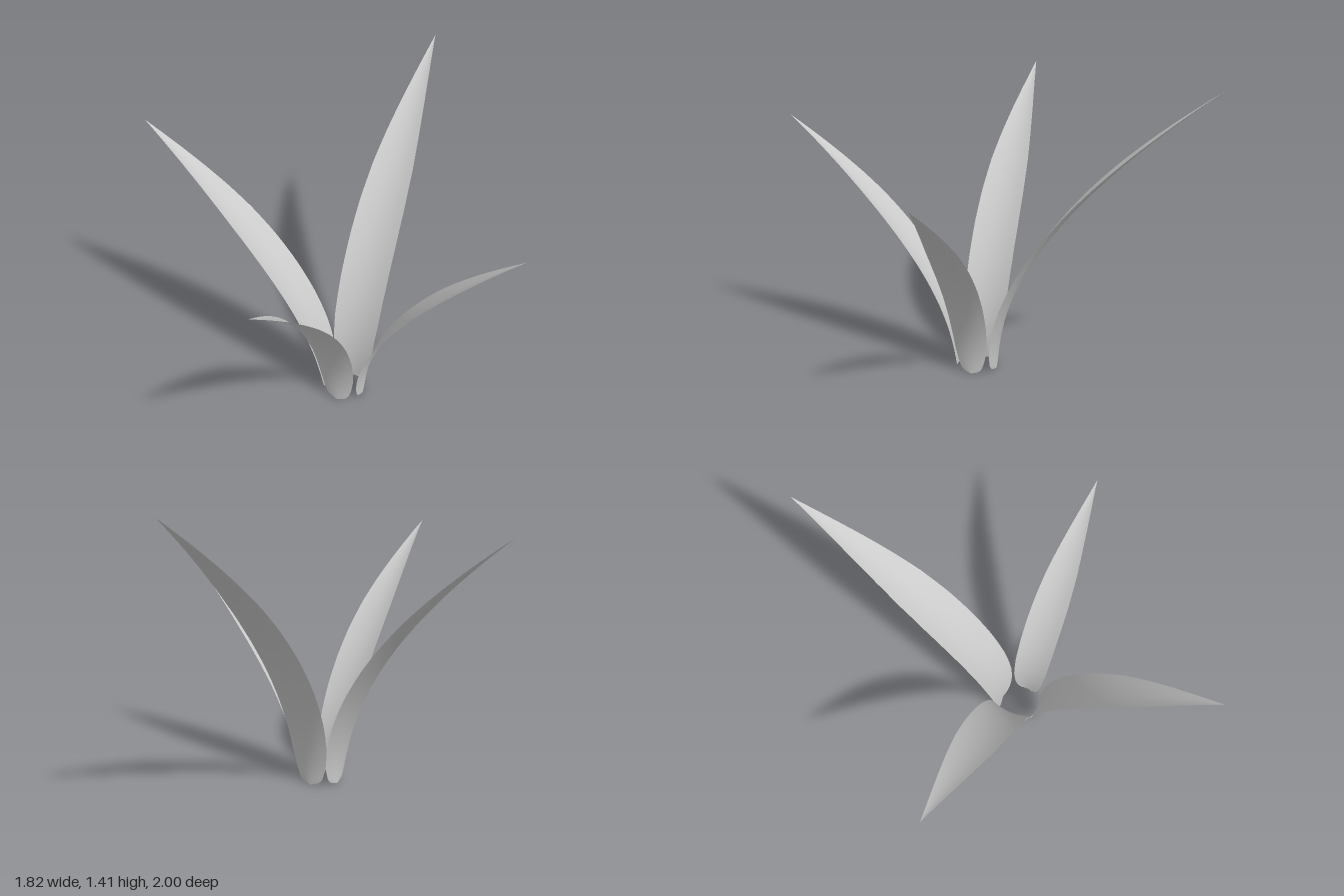
import * as THREE from 'three';

const CENTRE = 0.085; // the tuft sits slightly off the origin
const BASE_OFFSET = 0.095; // leaf foot distance from the tuft centre
const CUP = 0.17; // depth of the cross-section relative to half width

// Relative half width along a leaf: [t, width]
const OUTLINE = [
  [0, 0.18], [0.01, 0.4], [0.025, 0.56], [0.07, 0.73], [0.14, 0.87], [0.25, 0.96], [0.38, 1],
  [0.5, 1], [0.6, 0.96], [0.7, 0.85], [0.78, 0.68], [0.85, 0.49], [0.92, 0.27], [1, 0],
];

// A thin cupped blade that rises from its foot and arches out along +z
function leafGeometry(reach, height, halfWidth) {
  const spine = new THREE.QuadraticBezierCurve(
    new THREE.Vector2(0, 0),
    new THREE.Vector2(0, height * 0.45),
    new THREE.Vector2(reach, height),
  );
  const rows = 48, cols = 8;
  const geo = new THREE.PlaneGeometry(1, 1, cols, rows);
  const pos = geo.attributes.position;
  const widthAt = (t) => {
    const i = Math.max(1, OUTLINE.findIndex(([k]) => k >= t));
    const [t0, w0] = OUTLINE[i - 1], [t1, w1] = OUTLINE[i];
    return w0 + (w1 - w0) * (t - t0) / (t1 - t0);
  };
  for (let r = 0; r <= rows; r++) {
    const t = Math.pow(r / rows, 1.4); // closer rows near the rounded foot
    const p = spine.getPoint(t), d = spine.getTangent(t);
    const w = widthAt(t) * halfWidth;
    for (let c = 0; c <= cols; c++) {
      const s = (c / cols) * 2 - 1;
      const lift = CUP * w * s * s; // edges curl towards the tuft centre
      const foot = r === 0 ? 0.012 * s * s : 0;
      pos.setXYZ(r * (cols + 1) + c, s * w, p.y + lift * d.x + foot * 0.5, p.x - lift * d.y);
    }
  }
  geo.computeVertexNormals();
  return geo;
}

export function createModel() {
  const group = new THREE.Group();
  const material = new THREE.MeshStandardMaterial({ color: 0xcccccc, side: THREE.DoubleSide });

  // name, turn about y, reach, height, half width
  const leaves = [
    ['frontLeaf', 0, 0.82, 1.165, 0.098],
    ['leftLeaf', Math.PI / 2, 0.725, 1.04, 0.089],
    ['backLeaf', Math.PI, 0.99, 1.41, 0.118],
    ['rightLeaf', -Math.PI / 2, 0.9, 1.285, 0.109],
  ];
  for (const [name, turn, reach, height, halfWidth] of leaves) {
    const leaf = new THREE.Mesh(leafGeometry(reach, height, halfWidth), material);
    leaf.name = name;
    leaf.rotation.y = turn;
    leaf.position.set(
      CENTRE + Math.sin(turn) * BASE_OFFSET, 0.005, CENTRE + Math.cos(turn) * BASE_OFFSET);
    group.add(leaf);
  }
  return group;
}
